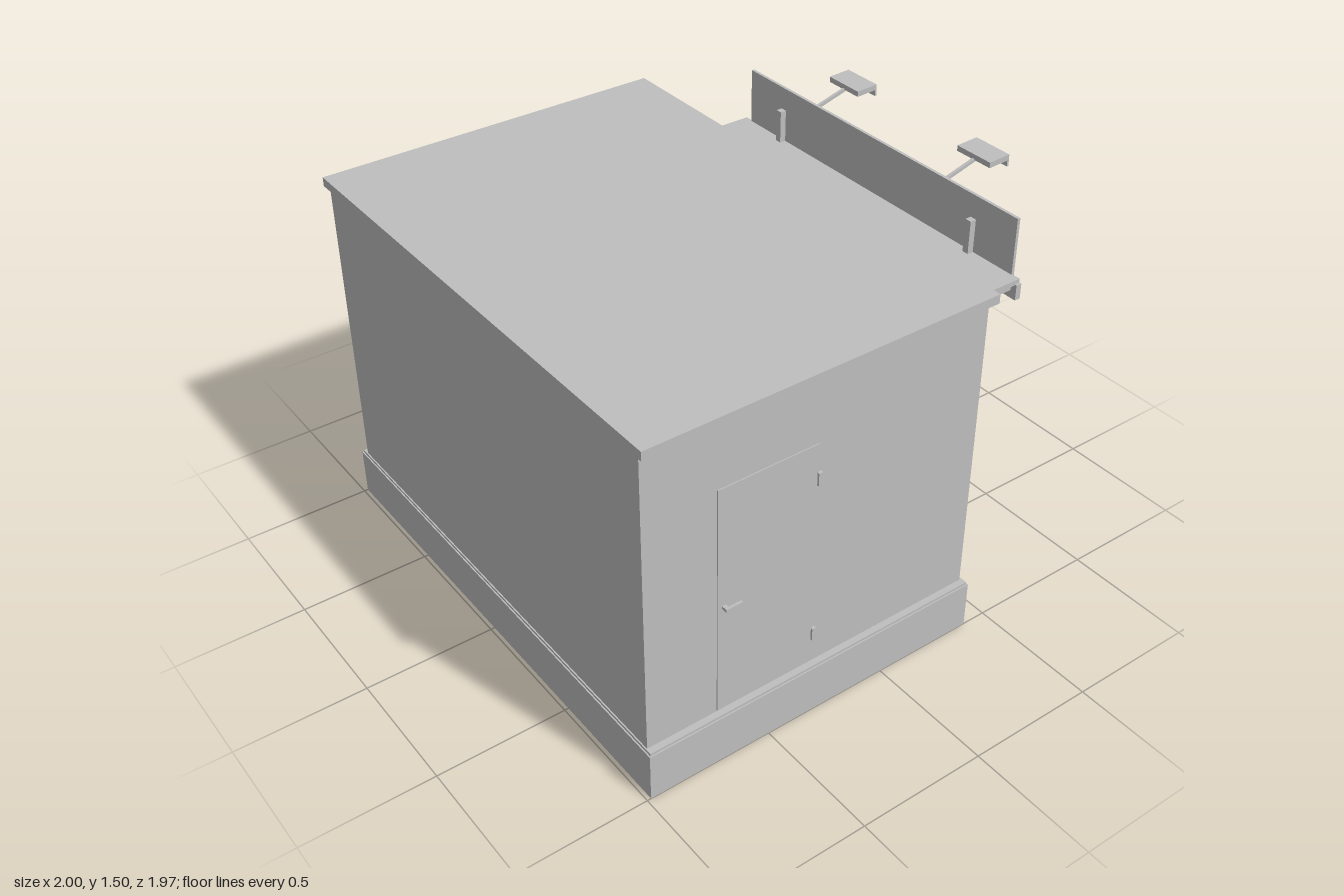
import * as THREE from 'three';
import { mergeGeometries } from 'three/addons/utils/BufferGeometryUtils.js';

const grey = new THREE.MeshStandardMaterial({ color: 0xbfbfbf });
grey.name = 'plain grey';

// box from its minimum and maximum corners
function boxGeo(x0, x1, y0, y1, z0, z1) {
  return new THREE.BoxGeometry(x1 - x0, y1 - y0, z1 - z0)
    .translate((x0 + x1) / 2, (y0 + y1) / 2, (z0 + z1) / 2);
}

// square bar leaning in the y-z plane, between [y, z] points
function barGeo(x, a, b, t) {
  const dy = b[0] - a[0], dz = b[1] - a[1];
  return new THREE.BoxGeometry(t, t, Math.hypot(dy, dz))
    .rotateX(-Math.atan2(dy, dz))
    .translate(x, (a[0] + b[0]) / 2, (a[1] + b[1]) / 2);
}

// running-bond tiles on a w by h panel, centred on the origin and facing +z
function tileGeo(w, h) {
  const parts = [], tw = 0.115, th = 0.04, gap = 0.004;
  const rows = Math.round(h / th), rh = h / rows;
  for (let r = 0; r < rows; r++) {
    const y = -h / 2 + r * rh;
    for (let x = -w / 2 - (r % 2) * tw / 2; x < w / 2 - 0.01; x += tw) {
      const a = Math.max(x, -w / 2), b = Math.min(x + tw, w / 2);
      if (b - a > 2 * gap) parts.push(boxGeo(a + gap / 2, b - gap / 2, y + gap / 2, y + rh - gap / 2, 0, 0.004));
    }
  }
  return mergeGeometries(parts);
}

export function createModel() {
  const model = new THREE.Group();
  model.name = 'kiosk';
  const add = (name, geo) => {
    const m = new THREE.Mesh(geo, grey);
    m.name = name;
    model.add(m);
    return m;
  };
  const box = (name, ...c) => add(name, boxGeo(...c));

  // plinth and roof
  box('plinth', -1, 1, 0, 0.19, -0.405, 0.985);
  box('plinthCap', -0.995, 0.995, 0.19, 0.2, -0.4, 0.98);
  box('roofLip', -0.99, 0.99, 1.378, 1.388, -0.398, 0.978);
  box('roof', -1, 1, 1.385, 1.42, -0.405, 0.985);

  // walls, with the serving window cut through the back one
  const W = 0.57, Y0 = 0.64, Y1 = 1.12, ZB = -0.39, ZN = 0.25;
  box('frontWall', -0.97, 0.97, 0.2, 1.38, 0.94, 0.975);
  for (const s of [-1, 1]) box('sideWall', ...(s > 0 ? [0.935, 0.97] : [-0.97, -0.935]), 0.2, 1.38, ZB + 0.03, 0.94);
  const wall = new THREE.Shape([[-0.97, 0.2], [0.97, 0.2], [0.97, 1.38], [-0.97, 1.38]].map(p => new THREE.Vector2(...p)));
  wall.holes.push(new THREE.Path([[-W, Y0], [-W, Y1], [W, Y1], [W, Y0]].map(p => new THREE.Vector2(...p))));
  add('windowWall', new THREE.ExtrudeGeometry(wall, { depth: 0.03, bevelEnabled: false }).translate(0, 0, ZB));

  // niche behind the window
  const t = 0.02, zi = ZB + 0.03, depth = ZN - zi, zc = (ZN + zi) / 2, yc = (Y0 + Y1) / 2;
  box('nicheRear', -W - t, W + t, Y0 - t, Y1 + t, ZN, ZN + t);
  box('nicheFloor', -W - t, W + t, Y0 - t, Y0, zi, ZN);
  box('nicheCeiling', -W - t, W + t, Y1, Y1 + t, zi, ZN);
  add('rearTiles', tileGeo(2 * W, Y1 - Y0).rotateY(Math.PI).translate(0, yc, ZN));
  add('ceilingTiles', tileGeo(2 * W, depth).rotateX(Math.PI / 2).translate(0, Y1, zc));
  for (const s of [-1, 1]) {
    box('nicheSide', ...(s > 0 ? [W, W + t] : [-W - t, -W]), Y0, Y1, zi, ZN);
    add('sideTiles', tileGeo(depth, Y1 - Y0).rotateY(-s * Math.PI / 2).translate(s * W, yc, zc));
  }
  add('ceilingLamp', new THREE.CylinderGeometry(0.012, 0.02, 0.04, 12).translate(0, Y1 - 0.02, -0.1));

  // goods on the counter: stepped display and bottles
  for (let i = 0; i < 3; i++) {
    box('displayStep', -0.02, 0.2, Y0 + i * 0.035, Y0 + (i + 1) * 0.035, -0.27 + i * 0.05, -0.1);
  }
  const bottle = [[0, 0], [0.016, 0], [0.016, 0.06], [0.006, 0.08], [0.006, 0.105], [0, 0.105]].map(p => new THREE.Vector2(...p));
  for (const [x, z] of [[0.36, -0.24], [0.31, -0.22], [0.26, -0.25], [0.29, -0.15], [-0.12, -0.26], [-0.15, -0.19]]) {
    add('bottle', new THREE.LatheGeometry(bottle, 12).translate(x, Y0, z));
  }

  // sill, frame and shutter case
  box('sill', -0.6, 0.6, 0.618, 0.64, -0.485, ZB);
  box('shutterCase', -0.59, 0.59, 1.105, 1.19, -0.53, -0.428);
  for (const s of [-1, 1]) {
    box('shutterGuide', s * 0.578 - 0.012, s * 0.578 + 0.012, 0.64, 1.11, -0.468, -0.448);
    box('windowJamb', s * 0.575 - 0.012, s * 0.575 + 0.012, 0.64, 1.13, -0.4, ZB);
  }
  box('windowHead', -0.587, 0.587, 1.11, 1.13, -0.4, ZB);

  // canopy with its brackets
  box('canopyTop', -0.77, 0.77, 1.22, 1.24, -0.745, ZB);
  box('canopyUnderside', -0.755, 0.755, 1.195, 1.22, -0.735, ZB);
  box('canopyFascia', -0.78, 0.78, 1.165, 1.225, -0.745, -0.722);
  for (const s of [-1, 1]) {
    const x = s * 0.68;
    box('bracketUpright', x - 0.012, x + 0.012, 1.035, 1.2, -0.41, ZB);
    box('bracketArm', x - 0.01, x + 0.01, 1.185, 1.2, -0.7, ZB);
    add('bracketBrace', barGeo(x, [1.06, -0.4], [1.19, -0.68], 0.016));
  }

  // sign board with posts and lamps on arms
  box('signBoard', -0.735, 0.735, 1.235, 1.46, -0.752, -0.74);
  for (const s of [-1, 1]) {
    box('signPost', s * 0.53 - 0.013, s * 0.53 + 0.013, 1.24, 1.37, -0.74, -0.715);
    const x = s * 0.357;
    add('lampArm', barGeo(x, [1.437, -0.745], [1.485, -0.92], 0.012));
    const lamp = new THREE.Group();
    lamp.name = 'signLamp';
    for (const g of [boxGeo(-0.083, 0.083, -0.011, 0.011, -0.047, 0.047), boxGeo(-0.083, 0.083, -0.035, -0.008, -0.047, -0.039)]) {
      const m = new THREE.Mesh(g, grey);
      m.name = 'lampHousing';
      lamp.add(m);
    }
    lamp.position.set(x, 1.492, -0.938);
    lamp.rotation.x = 0.04;
    model.add(lamp);
  }

  // side door
  box('door', 0.96, 0.974, 0.205, 1.127, 0.303, 0.697);
  for (const y of [0.33, 0.99]) box('doorHinge', 0.965, 0.982, y - 0.025, y + 0.025, 0.292, 0.308);
  box('doorHandle', 0.988, 0.998, 0.645, 0.657, 0.615, 0.68);
  box('handleStem', 0.97, 0.99, 0.645, 0.657, 0.665, 0.68);

  return model;
}
